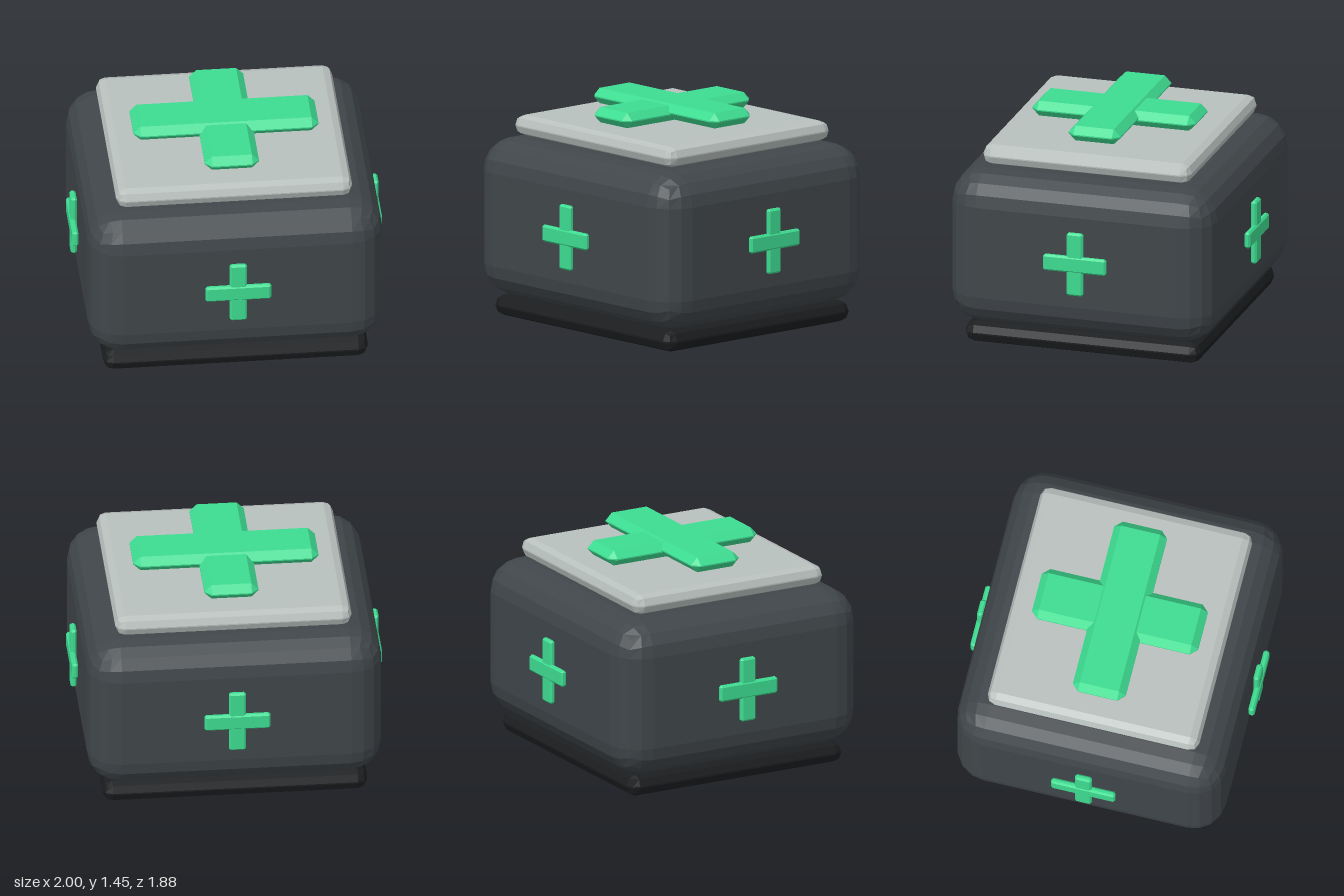
import * as THREE from 'three';
import { ConvexGeometry } from 'three/addons/geometries/ConvexGeometry.js';

const material = (color) => new THREE.MeshStandardMaterial({ color, flatShading: true });

// Box with rounded edges made of an even number of facets
function roundedBox(w, h, d, r, facets) {
  const n = facets + 1;
  const geometry = new THREE.BoxGeometry(1, 1, 1, n, n, n);
  const p = geometry.attributes.position;
  const half = [w / 2, h / 2, d / 2];
  const v = new THREE.Vector3();
  for (let i = 0; i < p.count; i++) {
    const grid = [p.getX(i), p.getY(i), p.getZ(i)];
    const slope = grid.map((g) => {
      const step = Math.round(Math.abs(g) * n - 0.5);
      return Math.sign(g) * Math.tan((step / (facets / 2)) * Math.PI / 4);
    });
    v.fromArray(slope).normalize().multiplyScalar(r);
    const q = v.toArray().map((c, a) => c + Math.sign(grid[a]) * (half[a] - r));
    p.setXYZ(i, q[0], q[1], q[2]);
  }
  geometry.computeVertexNormals();
  return geometry;
}

// Box with a single flat chamfer along every edge
function chamferedBox(w, h, d, c) {
  const points = [];
  for (const x of [-1, 1]) for (const y of [-1, 1]) for (const z of [-1, 1]) {
    for (let axis = 0; axis < 3; axis++) {
      const q = [w / 2 - c, h / 2 - c, d / 2 - c];
      q[axis] += c;
      points.push(new THREE.Vector3(x * q[0], y * q[1], z * q[2]));
    }
  }
  return new ConvexGeometry(points);
}

export function createModel() {
  const model = new THREE.Group();
  model.name = 'medicalCase';
  const green = material(0x3ddc91);

  function add(parent, name, geometry, mat, x, y, z) {
    const mesh = new THREE.Mesh(geometry, mat);
    mesh.name = name;
    mesh.position.set(x, y, z);
    parent.add(mesh);
  }

  // Stacked case: base, body and floating lid
  add(model, 'base', roundedBox(1.71, 0.14, 1.58, 0.065, 2), material(0x1b1d1f), 0, 0.07, 0);
  add(model, 'body', roundedBox(1.9, 1.03, 1.775, 0.21, 4), material(0x40464a), 0, 0.655, 0);
  add(model, 'lid', roundedBox(1.525, 0.132, 1.4, 0.062, 2), material(0xb8c0bd), 0, 1.25, 0);

  // Large cross lying above the lid
  const topCross = new THREE.Group();
  topCross.name = 'topCross';
  add(topCross, 'topCrossWideBar', chamferedBox(1.195, 0.1, 0.35, 0.046), green, 0, 1.395, 0);
  add(topCross, 'topCrossLongBar', chamferedBox(0.35, 0.1, 1.1, 0.046), green, 0, 1.384, 0);
  model.add(topCross);

  // Small upright crosses, one per wall
  const walls = [['front', 0.92], ['left', 0.98], ['back', 0.92], ['right', 0.98]];
  walls.forEach(([side, distance], i) => {
    const cross = new THREE.Group();
    cross.name = side + 'Cross';
    add(cross, side + 'CrossHorizontalBar', chamferedBox(0.424, 0.108, 0.04, 0.012), green, 0, 0.655, distance);
    add(cross, side + 'CrossVerticalBar', chamferedBox(0.11, 0.424, 0.04, 0.012), green, 0, 0.655, distance - 0.006);
    cross.rotation.y = i * Math.PI / 2;
    model.add(cross);
  });

  return model;
}
